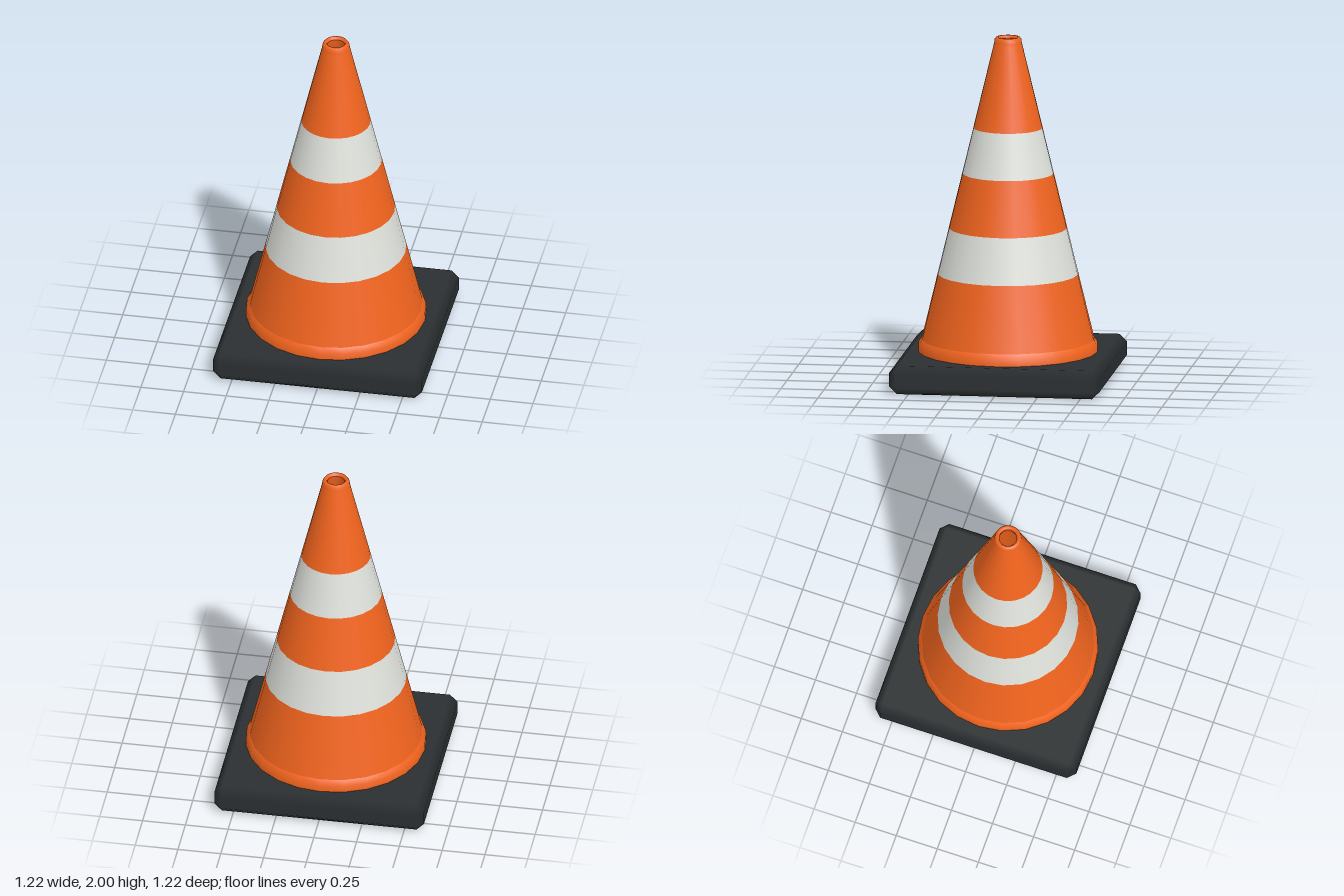
import * as THREE from 'three';
import { ConvexGeometry } from 'three/addons/geometries/ConvexGeometry.js';

const SIDES = 24;
const orange = new THREE.MeshStandardMaterial({ color: 0xf2641e });
const white = new THREE.MeshStandardMaterial({ color: 0xe0e2dc });
const black = new THREE.MeshStandardMaterial({ color: 0x2b2f31 });

// Radius of the straight cone wall at height y
const wall = (y) => 0.555 - 0.2415 * y;

function addLathe(parent, name, profile, material) {
  const points = profile.map(([r, y]) => new THREE.Vector2(r, y));
  const mesh = new THREE.Mesh(new THREE.LatheGeometry(points, SIDES), material);
  mesh.name = name;
  parent.add(mesh);
}

// Box with every edge chamfered; shading blends across the chamfers only
function chamferedBox(half, c) {
  const axes = ['x', 'y', 'z'];
  const points = [];
  for (const full of axes)
    for (const sx of [-1, 1])
      for (const sy of [-1, 1])
        for (const sz of [-1, 1]) {
          const p = new THREE.Vector3(sx, sy, sz);
          for (const a of axes) p[a] *= half[a] - (a === full ? 0 : c);
          points.push(p);
        }
  const geometry = new ConvexGeometry(points);
  const { position, normal } = geometry.attributes;
  const p = new THREE.Vector3();
  for (let i = 0; i < position.count; i++) {
    p.fromBufferAttribute(position, i);
    const n = axes.map((a) => (Math.abs(p[a]) > half[a] - c / 2 ? Math.sign(p[a]) : 0));
    normal.setXYZ(i, ...n);
  }
  return geometry;
}

export function createModel() {
  const model = new THREE.Group();
  model.name = 'trafficCone';

  // Square foot
  const base = new THREE.Mesh(chamferedBox(new THREE.Vector3(0.612, 0.083, 0.612), 0.044), black);
  base.name = 'base';
  base.position.y = 0.083;
  model.add(base);

  const cone = new THREE.Group();
  cone.name = 'cone';
  model.add(cone);

  // Flared lip where the cone meets the foot
  addLathe(cone, 'bottomLip', [[0.52, 0.16], [0.52, 0.205], [wall(0.235), 0.235]], orange);

  // Alternating bands of the cone wall
  const heights = [0.235, 0.617, 0.885, 1.205, 1.47, 1.965];
  for (let i = 0; i < heights.length - 1; i++) {
    const [low, high] = [heights[i], heights[i + 1]];
    const striped = i % 2 === 1;
    addLathe(cone, striped ? 'reflectiveStripe' : 'orangeBand',
      [[wall(low), low], [wall(high), high]], striped ? white : orange);
  }

  // Rounded rim around the open tip
  addLathe(cone, 'rim', [[wall(1.965), 1.965], [0.077, 1.988], [0.068, 2], [0.057, 2], [0.05, 1.985]], orange);

  // Hollow inside
  addLathe(cone, 'innerWall', [[0.05, 1.985], [0.055, 1.95], [0.475, 0.166]], orange);

  return model;
}
